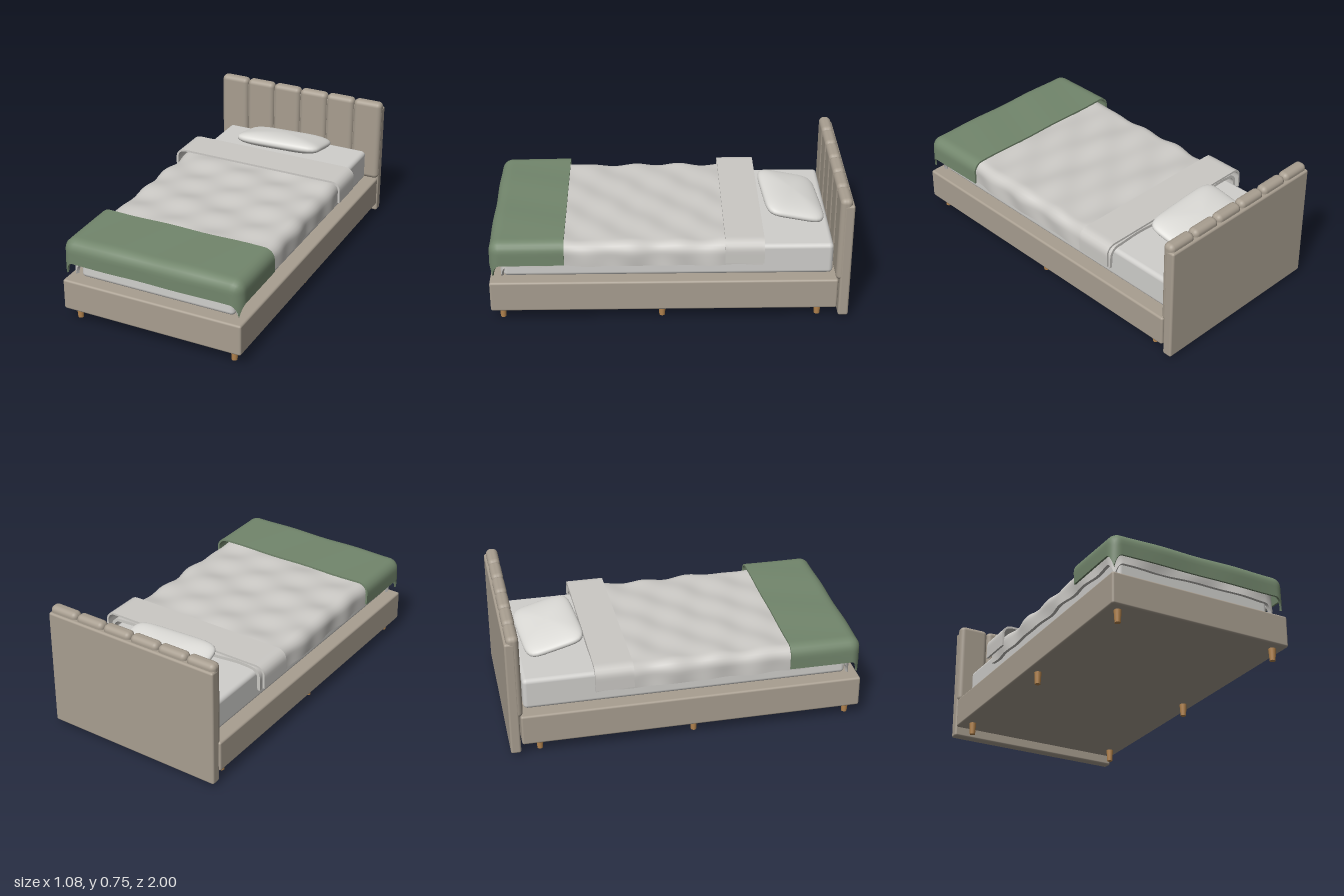
import * as THREE from 'three';
import { mergeVertices } from 'three/addons/utils/BufferGeometryUtils.js';
import { RoundedBoxGeometry } from 'three/addons/geometries/RoundedBoxGeometry.js';

function material(name, color) {
  const m = new THREE.MeshStandardMaterial({ color });
  m.name = name;
  return m;
}

// Rounded box given by its minimum and maximum corners
function block(name, min, max, radius, mat) {
  const s = max.map((v, i) => v - min[i]);
  const mesh = new THREE.Mesh(new RoundedBoxGeometry(s[0], s[1], s[2], 4, radius), mat);
  mesh.position.set(...max.map((v, i) => (v + min[i]) / 2));
  mesh.name = name;
  return mesh;
}

// Thick cloth lying flat over |x| < halfX, z < endZ, then bending round radius r and hanging down.
// Distance from the flat area is radial, so the corners hang lower.
function drape(name, o, mat) {
  const over = o.r * Math.PI / 2 + o.drop - o.r;
  const width = 2 * (o.halfX + over);
  const zMax = o.endZ + (o.hangsAtFoot ? over : 0);
  const depth = zMax - o.startZ;
  const geo = new THREE.BoxGeometry(width, 1, depth, 72, 1, Math.max(12, Math.round(depth * 50)));
  const p = geo.attributes.position;
  for (let i = 0; i < p.count; i++) {
    const u = p.getX(i);
    const v = p.getZ(i) + (zMax + o.startZ) / 2;
    const x = THREE.MathUtils.clamp(u, -o.halfX, o.halfX);
    const z = Math.min(v, o.endZ);
    const d = Math.hypot(u - x, v - z);
    const a = Math.min(d / o.r, Math.PI / 2);
    const hang = Math.max(0, d - o.r * Math.PI / 2);
    const radius = o.r + o.wave(u, v) - (p.getY(i) < 0 ? o.thick : 0);
    const out = d > 0 ? radius * Math.sin(a) / d : 0;
    p.setXYZ(i, x + (u - x) * out, o.top - o.r + radius * Math.cos(a) - hang, z + (v - z) * out);
  }
  geo.computeVertexNormals();
  const mesh = new THREE.Mesh(geo, mat);
  mesh.name = name;
  return mesh;
}

// Sphere stretched to a rounded rectangle in plan
function pillow(mat) {
  let geo = new THREE.SphereGeometry(1, 64, 32);
  const p = geo.attributes.position;
  for (let i = 0; i < p.count; i++) {
    const x = p.getX(i), y = p.getY(i), z = p.getZ(i);
    const r = Math.hypot(x, z);
    const k = r > 1e-6 ? r / Math.pow(Math.abs(x) ** 6 + Math.abs(z) ** 6, 1 / 6) : 1;
    p.setXYZ(i, 0.268 * x * k, 0.05 * Math.sign(y) * Math.abs(y) ** 0.85, 0.172 * z * k);
  }
  geo.deleteAttribute('uv');
  geo.deleteAttribute('normal');
  geo = mergeVertices(geo, 1e-5);
  geo.computeVertexNormals();
  const mesh = new THREE.Mesh(geo, mat);
  mesh.name = 'pillow';
  mesh.position.set(0, 0.497, -0.705);
  mesh.rotation.set(-0.23, 0.065, 0, 'YXZ');
  return mesh;
}

export function createModel() {
  const fabric = material('beige upholstery', 0xa89e90);
  const wood = material('oak', 0xb5854f);
  const mattressWhite = material('mattress white', 0xd0cfcc);
  const linen = material('duvet linen', 0xcbc9c5);
  const pillowWhite = material('pillow white', 0xdddcd8);
  const green = material('sage green', 0x72866c);

  const bed = new THREE.Group();
  bed.name = 'bed';

  // Upholstered frame and mattress
  bed.add(block('base', [-0.54, 0.07, -0.935], [0.54, 0.252, 0.998], 0.012, fabric));
  bed.add(block('mattress', [-0.465, 0.25, -0.91], [0.465, 0.435, 0.925], 0.025, mattressWhite));

  // Headboard: back panel with six padded channels
  const headboard = new THREE.Group();
  headboard.name = 'headboard';
  headboard.add(block('backPanel', [-0.54, 0.02, -1], [0.54, 0.715, -0.942], 0.012, fabric));
  for (let i = 0; i < 6; i++) {
    const x = -0.54 + i * 0.18;
    headboard.add(block('channel', [x + 0.001, 0.245, -0.988], [x + 0.179, 0.752, -0.92], 0.028, fabric));
  }
  bed.add(headboard);

  // Six tapered legs
  for (const x of [-0.475, 0.475]) {
    for (const z of [0.935, 0.042, -0.832]) {
      const leg = new THREE.Mesh(new THREE.CylinderGeometry(0.021, 0.016, 0.075, 20), wood);
      leg.name = 'leg';
      leg.position.set(x, 0.0375, z);
      bed.add(leg);
    }
  }

  // Bedding
  bed.add(drape('duvet', {
    halfX: 0.448, startZ: -0.515, endZ: 0.89, top: 0.47, drop: 0.132, r: 0.06, thick: 0.018, hangsAtFoot: true,
    wave: (x, z) => 0.008 * Math.sin(23 * z + 6 * x) * Math.cos(13 * x - 3 * z) + 0.003 * Math.sin(9 * x - 12 * z),
  }, linen));
  bed.add(drape('duvetFold', {
    halfX: 0.485, startZ: -0.52, endZ: -0.305, top: 0.497, drop: 0.132, r: 0.055, thick: 0.012, hangsAtFoot: false,
    wave: () => 0,
  }, linen));
  bed.add(drape('footBlanket', {
    halfX: 0.477, startZ: 0.58, endZ: 0.933, top: 0.498, drop: 0.136, r: 0.062, thick: 0.011, hangsAtFoot: true,
    wave: (x, z) => 0.002 * Math.sin(14 * x + 5 * z),
  }, green));
  bed.add(pillow(pillowWhite));

  return bed;
}
